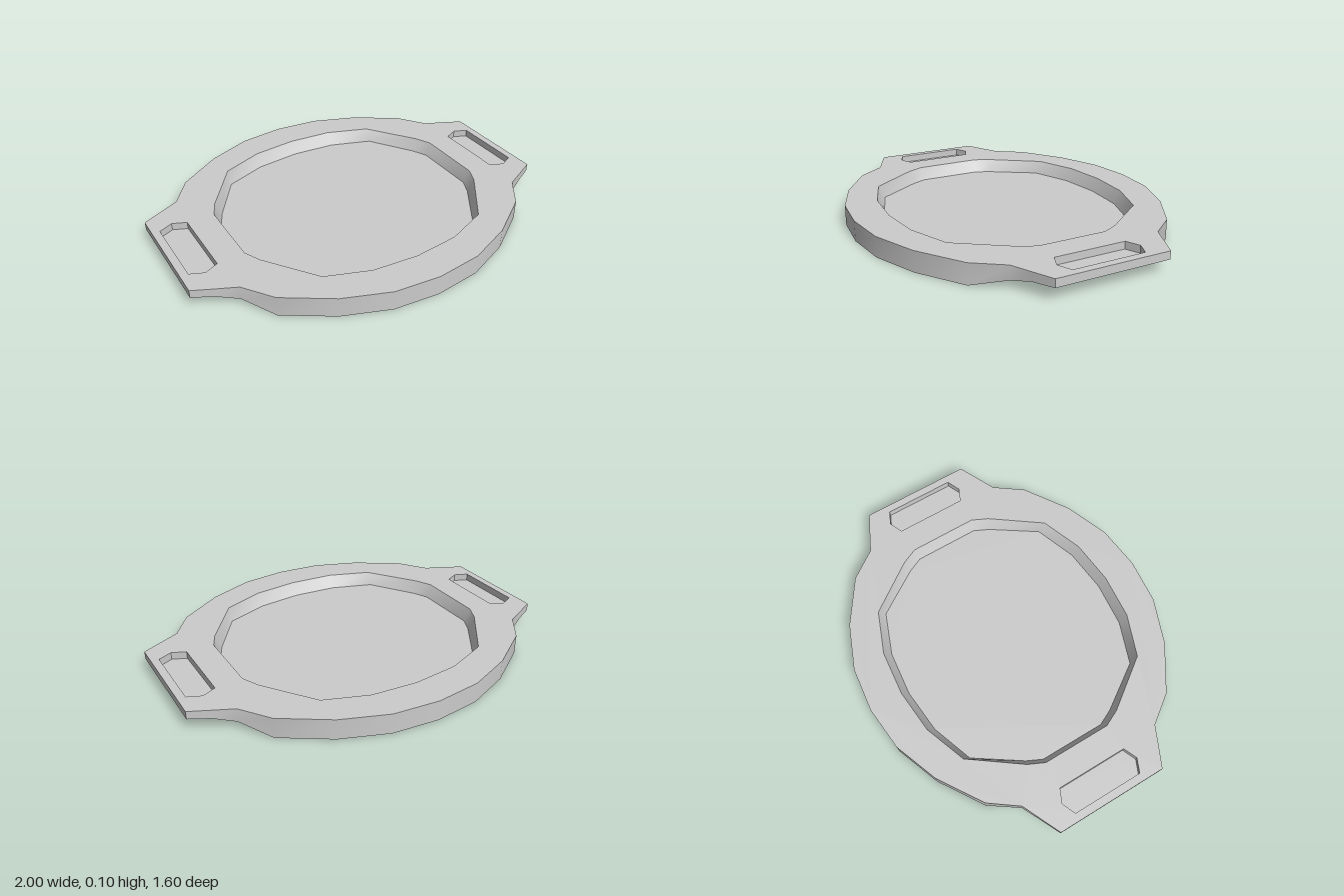
import * as THREE from 'three';
import { mergeGeometries, toCreasedNormals } from 'three/addons/utils/BufferGeometryUtils.js';

const TOP = 0.105, RECESS_FLOOR = 0.036, SLOT_FLOOR = 0.067;

// Quarter outlines [x, z], from the front middle round to the side
const OUTLINE = [[0, 0.8], [0.235, 0.775], [0.467, 0.685], [0.695, 0.535], [0.8, 0.39], [0.9, 0.343], [1, 0.295]];
const RECESS_RIM = [[0, 0.625], [0.235, 0.603], [0.455, 0.52], [0.64, 0.265], [0.68, 0.18]];
const RECESS_BASE = [[0, 0.59], [0.235, 0.567], [0.455, 0.487], [0.612, 0.253], [0.65, 0.173]];
const SLOT = [[0, 0.218], [0.07, 0.187]];
// Underside height for each outline point
const UNDERSIDE = [0, 0, 0, 0, 0.035, 0.06, 0.064];

// Mirrors a quarter into a closed loop, counter-clockwise from above
function loop(quarter, height, cx = 0) {
  const y = (i) => (Array.isArray(height) ? height[i] : height);
  const half = [
    ...quarter.map(([x, z], i) => [x, y(i), z]),
    ...quarter.map(([x, z], i) => [x, y(i), -z]).reverse(),
  ];
  const other = half.slice(1, -1).reverse().map(([x, h, z]) => [-x, h, z]);
  return [...half, ...other].map(([x, h, z]) => new THREE.Vector3(x + cx, h, z));
}

function fromPoints(points) {
  return new THREE.BufferGeometry().setFromPoints(points);
}

// Wall between two loops; a lower second loop makes the wall face inward
function wall(a, b) {
  const pts = [];
  a.forEach((p, i) => {
    const j = (i + 1) % a.length;
    pts.push(p, a[j], b[j], p, b[j], b[i]);
  });
  return fromPoints(pts);
}

// Flat upward face bounded by a loop, with optional holes
function cap(edge, holes = []) {
  const flat = (l) => l.map((p) => new THREE.Vector2(p.x, -p.z));
  const shape = new THREE.Shape(flat(edge));
  holes.forEach((h) => shape.holes.push(new THREE.Path(flat(h))));
  const g = new THREE.ShapeGeometry(shape).toNonIndexed();
  g.deleteAttribute('uv');
  g.deleteAttribute('normal');
  return g.rotateX(-Math.PI / 2).translate(0, edge[0].y, 0);
}

// Underside in strips across x, curving up beneath the handles
function underside() {
  const pts = [];
  const row = (i, s, z) => new THREE.Vector3(s * OUTLINE[i][0], UNDERSIDE[i], z * OUTLINE[i][1]);
  for (const s of [1, -1]) {
    for (let i = 0; i < OUTLINE.length - 1; i++) {
      const a = row(i, s, s), b = row(i, s, -s), c = row(i + 1, s, -s), d = row(i + 1, s, s);
      pts.push(a, b, c, a, c, d);
    }
  }
  return fromPoints(pts);
}

export function createModel() {
  const group = new THREE.Group();
  group.name = 'servingTray';
  const material = new THREE.MeshStandardMaterial({ color: 0xcccccc });
  const add = (name, parts) => {
    const mesh = new THREE.Mesh(toCreasedNormals(mergeGeometries(parts), THREE.MathUtils.degToRad(38)), material);
    mesh.name = name;
    group.add(mesh);
  };

  const rim = loop(OUTLINE, TOP);
  const recessRim = loop(RECESS_RIM, TOP);
  const recessBase = loop(RECESS_BASE, RECESS_FLOOR);
  const slotRims = [0.89, -0.89].map((x) => loop(SLOT, TOP, x));

  // Tray body with its two handles
  add('trayBody', [
    cap(rim, [recessRim, ...slotRims]),
    wall(loop(OUTLINE, UNDERSIDE), rim),
    underside(),
  ]);

  // Sunken plate area
  add('plateRecess', [wall(recessRim, recessBase), cap(recessBase)]);

  // Blind finger slots in the handles
  slotRims.forEach((slotRim, i) => {
    const base = slotRim.map((p) => p.clone().setY(SLOT_FLOOR));
    add(i ? 'rightHandleSlot' : 'leftHandleSlot', [wall(slotRim, base), cap(base)]);
  });

  return group;
}
